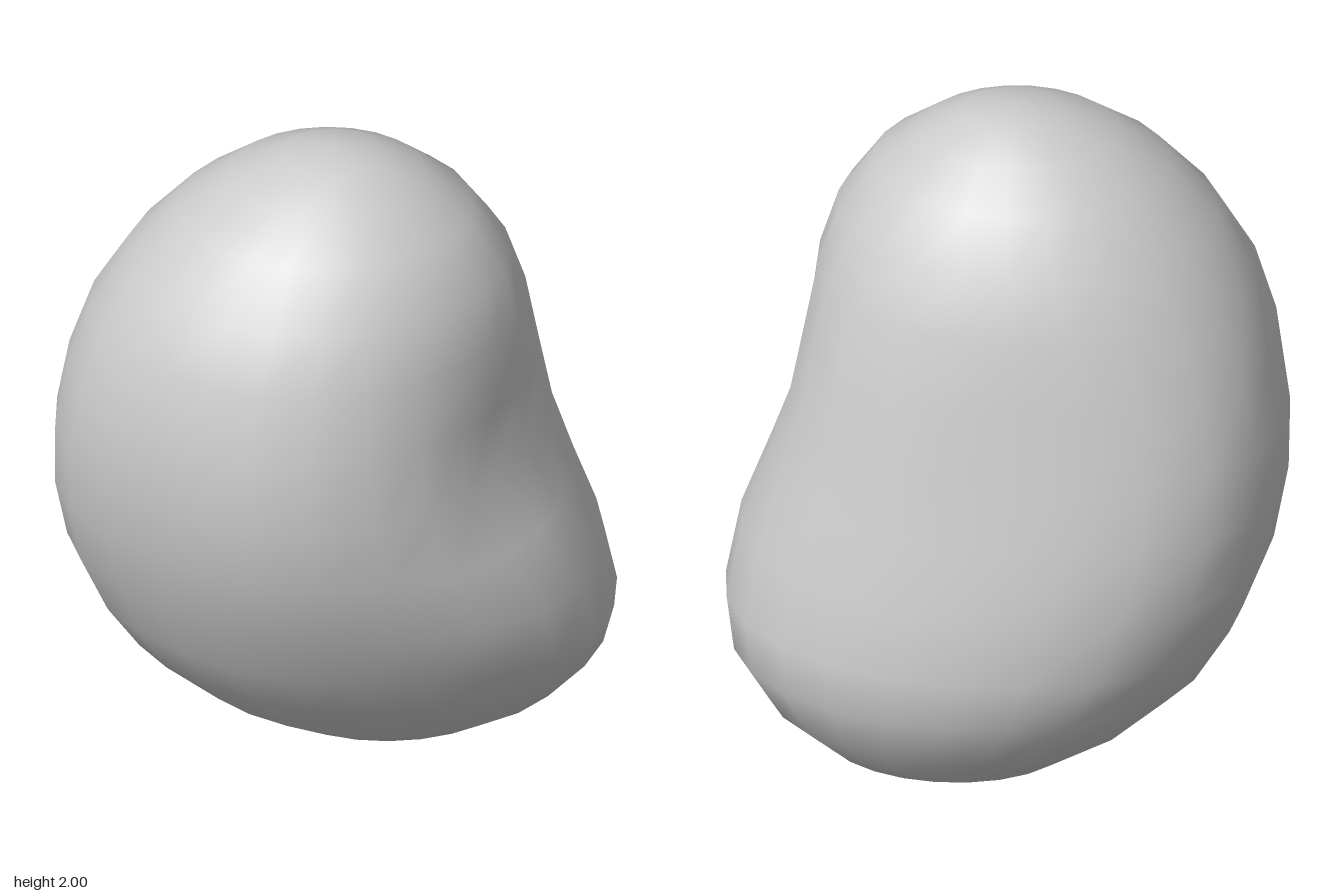
import * as THREE from 'three';

// Cross-sections of the bean: height, then x range and z range
const SECTIONS = [
  [0.02, -0.03, 0.30, -0.33, -0.07],
  [0.08, -0.21, 0.50, -0.46, 0.10],
  [0.20, -0.41, 0.66, -0.575, 0.27],
  [0.35, -0.58, 0.765, -0.645, 0.40],
  [0.50, -0.675, 0.79, -0.66, 0.49],
  [0.70, -0.755, 0.755, -0.635, 0.585],
  [0.90, -0.79, 0.685, -0.595, 0.645],
  [1.10, -0.79, 0.62, -0.55, 0.665],
  [1.30, -0.76, 0.58, -0.51, 0.65],
  [1.50, -0.695, 0.545, -0.465, 0.60],
  [1.67, -0.59, 0.49, -0.405, 0.53],
  [1.82, -0.45, 0.385, -0.305, 0.41],
  [1.92, -0.30, 0.25, -0.20, 0.285],
  [1.98, -0.15, 0.13, -0.09, 0.165],
];
const SIDES = 24;

const bump = (v, centre, width) => Math.exp(-(((v - centre) / width) ** 2));

// Swelling or flattening of each diagonal quarter at a given height
function quarterSwell(y, cos, sin) {
  if (cos > 0 && sin > 0) return 0.09 * bump(y, 0.6, 0.3) - 0.06 * bump(y, 1.4, 0.3);
  if (cos > 0) return 0.09 * bump(y, 1.2, 0.45);
  if (sin > 0) return -0.085 * bump(y, 0.95, 0.55);
  return 0.1 * bump(y, 0.95, 0.5);
}

// Hollow on the inner side of the bend
const hollow = (y, angle) => 0.12 * bump(y, 1.1, 0.24) * bump(angle, 0.5, 0.42);

function beanGeometry() {
  const positions = [];
  const index = [];

  // Rings: ellipses with the swelling and the hollow applied
  for (const [y, x0, x1, z0, z1] of SECTIONS) {
    for (let i = 0; i < SIDES; i++) {
      const t = (i / SIDES - 0.5) * Math.PI * 2;
      const cos = Math.cos(t);
      const sin = Math.sin(t);
      const r = 1 + quarterSwell(y, cos, sin) * Math.sin(2 * t) ** 2 - hollow(y, t);
      positions.push(
        (x0 + x1) / 2 + ((x1 - x0) / 2) * cos * r,
        y,
        (z0 + z1) / 2 + ((z1 - z0) / 2) * sin * r,
      );
    }
  }

  // Poles
  const bottom = positions.length / 3;
  const top = bottom + 1;
  positions.push(0.15, 0, -0.2, -0.01, 2, 0.03);

  // Skin between rings, closed with a fan at each pole
  const last = (SECTIONS.length - 1) * SIDES;
  for (let i = 0; i < SIDES; i++) {
    const n = (i + 1) % SIDES;
    for (let row = 0; row < last; row += SIDES) {
      const a = row + i;
      const b = row + n;
      index.push(a, a + SIDES, b, b, a + SIDES, b + SIDES);
    }
    index.push(bottom, i, n, top, last + n, last + i);
  }

  const geometry = new THREE.BufferGeometry();
  geometry.setAttribute('position', new THREE.Float32BufferAttribute(positions, 3));
  geometry.setIndex(index);
  geometry.computeVertexNormals();
  return geometry;
}

export function createModel() {
  const group = new THREE.Group();
  const bean = new THREE.Mesh(
    beanGeometry(),
    new THREE.MeshStandardMaterial({ color: 0xcccccc }),
  );
  bean.name = 'bean';
  group.add(bean);
  return group;
}
